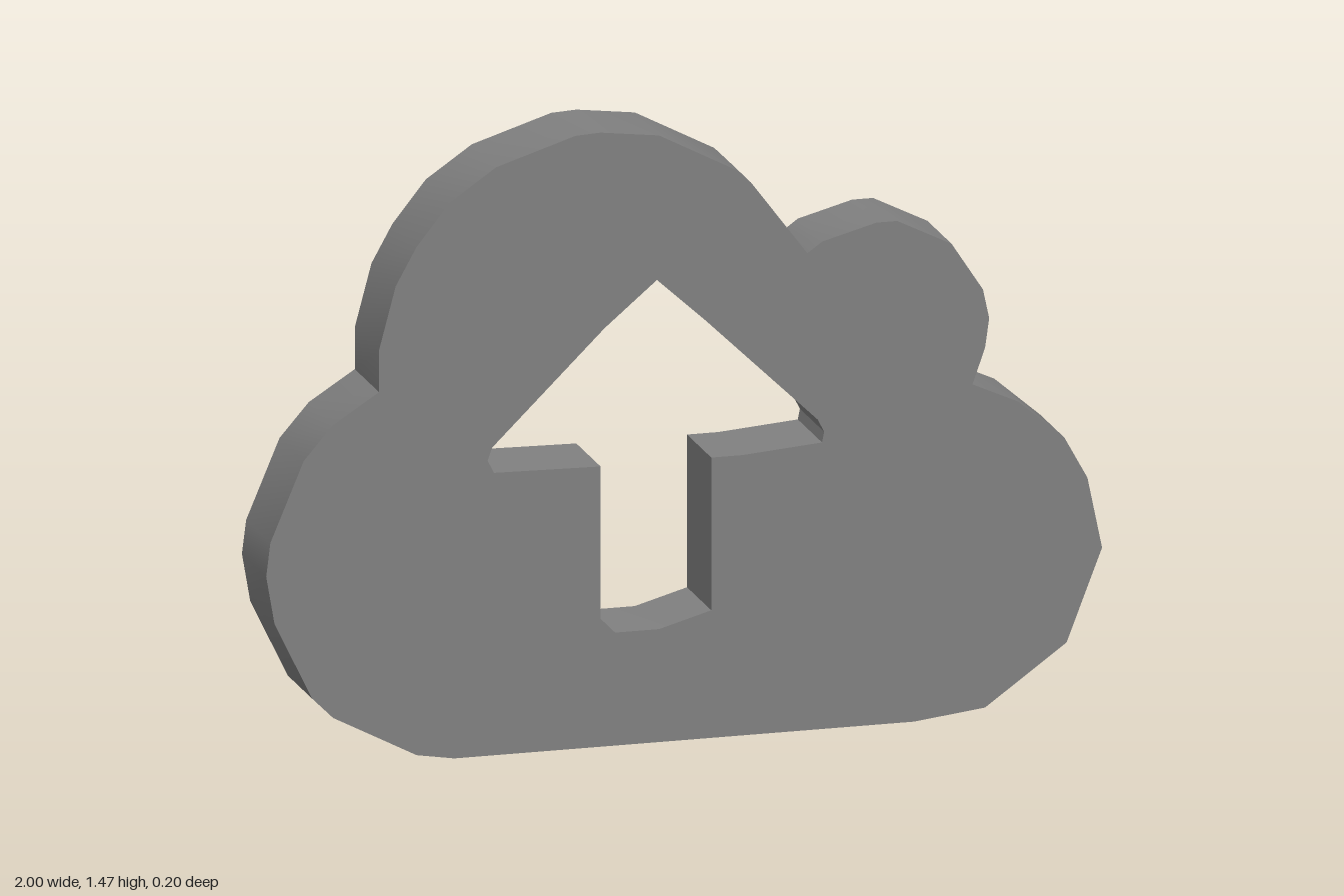
import * as THREE from 'three';
import { toCreasedNormals } from 'three/addons/utils/BufferGeometryUtils.js';

const DEPTH = 0.2;

const points = (list) => list.map(([x, y]) => new THREE.Vector2(x, y));

// Cloud outline, counter-clockwise, one row per lobe
const cloudOutline = [
  [-0.55, 0], [0.55, 0], [0.72, 0.02], [0.915, 0.16], [1, 0.38], [0.965, 0.55], [0.91, 0.65], [0.8, 0.745], [0.69, 0.795],
  [0.72, 0.88], [0.73, 0.95], [0.715, 1.02], [0.64, 1.135], [0.51, 1.2], [0.46, 1.2], [0.33, 1.165], [0.295, 1.14],
  [0.16, 1.32], [0.13, 1.35], [-0.06, 1.45], [-0.2, 1.468], [-0.26, 1.465], [-0.45, 1.405], [-0.56, 1.33],
  [-0.64, 1.23], [-0.69, 1.14], [-0.73, 0.99], [-0.73, 0.89],
  [-0.84, 0.82], [-0.91, 0.74], [-0.99, 0.55], [-1, 0.47], [-0.98, 0.355], [-0.89, 0.17], [-0.84, 0.12], [-0.64, 0.015],
];

// Upward arrow cut-out: shaft, then head
const arrowOutline = [
  [-0.2, 0.67], [-0.2, 0.305], [-0.165, 0.27], [-0.06, 0.27], [0.065, 0.305], [0.065, 0.67],
  [0.14, 0.67], [0.33, 0.685], [0.335, 0.71], [0.32, 0.74], [0.05, 1.0], [-0.065, 1.105],
  [-0.19, 1.0], [-0.46, 0.735], [-0.47, 0.705], [-0.455, 0.675],
];

export function createModel() {
  const group = new THREE.Group();
  group.name = 'uploadCloud';

  const grey = new THREE.MeshStandardMaterial({ color: 0x808080 });
  grey.name = 'grey';

  // Flat cloud plate with the arrow cut right through it
  const shape = new THREE.Shape(points(cloudOutline));
  shape.holes.push(new THREE.Path(points(arrowOutline)));
  const extruded = new THREE.ExtrudeGeometry(shape, { depth: DEPTH, bevelEnabled: false });
  extruded.translate(0, 0, -DEPTH / 2);

  // Smooth the rounded rim, keep the corners sharp
  const cloud = new THREE.Mesh(toCreasedNormals(extruded, 0.5), grey);
  cloud.name = 'cloudPlate';
  group.add(cloud);

  return group;
}
